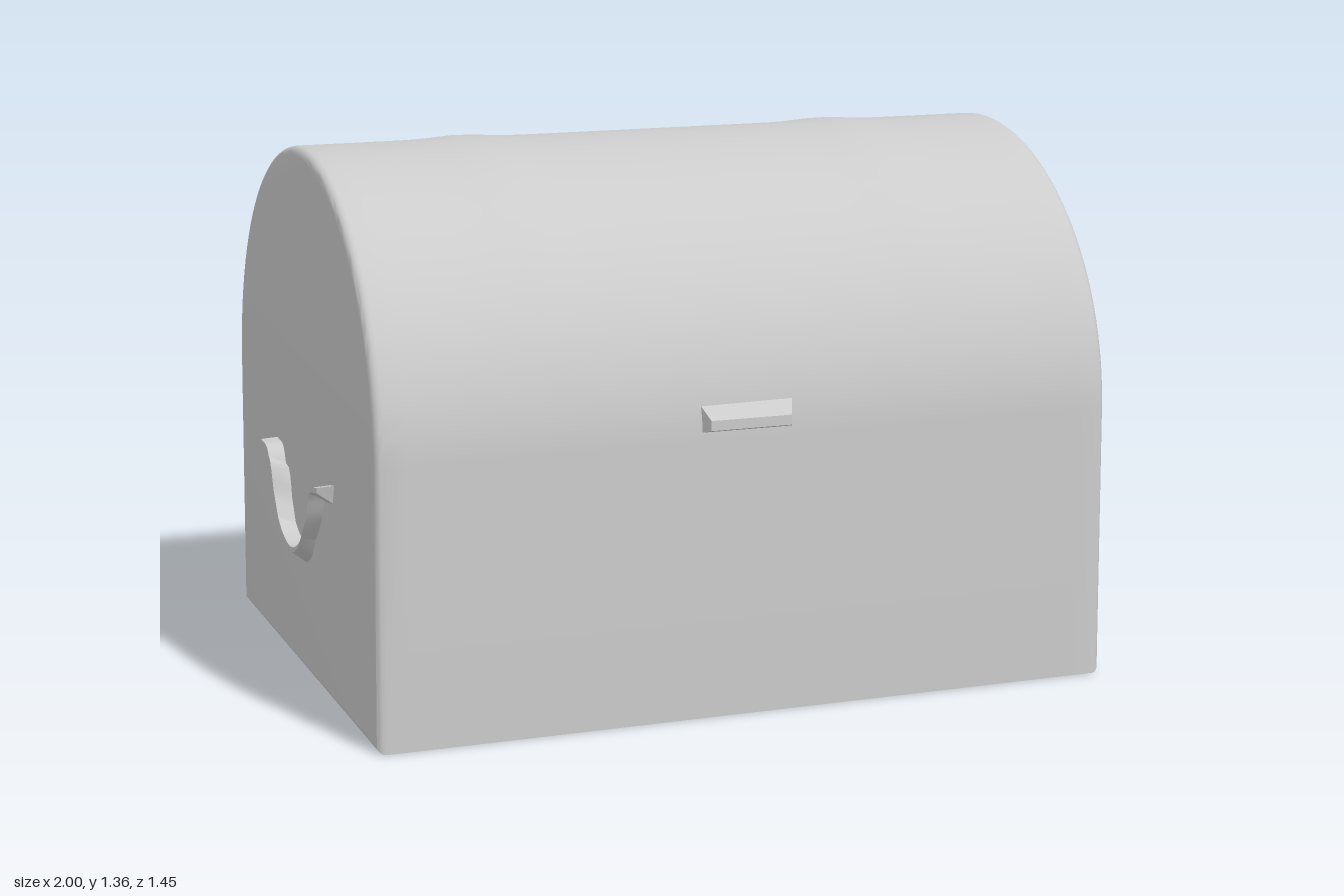
import * as THREE from 'three';
import { toCreasedNormals } from 'three/addons/utils/BufferGeometryUtils.js';

const material = new THREE.MeshStandardMaterial({ color: 0xcccccc });

function part(name, geometry, crease) {
  const mesh = new THREE.Mesh(toCreasedNormals(geometry, crease), material);
  mesh.name = name;
  return mesh;
}

// Move every vertex of a geometry by a rule
function reshape(geometry, rule) {
  const pos = geometry.attributes.position;
  const v = new THREE.Vector3();
  for (let i = 0; i < pos.count; i++) {
    v.fromBufferAttribute(pos, i);
    rule(v);
    pos.setXYZ(i, v.x, v.y, v.z);
  }
  return geometry;
}

// Chest body: arched section run along x, with softly rounded ends
function createBody() {
  const bevel = 0.022, half = 0.713 - bevel, spring = 0.7;
  const bottom = 0.005 + bevel, rise = 1.36 - bevel - spring;
  const section = new THREE.Shape();
  section.moveTo(-half, bottom);
  section.lineTo(half, bottom);
  section.lineTo(half, spring);
  section.absellipse(0, spring, half, rise, 0, Math.PI, false);
  section.closePath();
  const depth = 1.92 - 2 * bevel;
  const geo = new THREE.ExtrudeGeometry(section, {
    depth, steps: 32, curveSegments: 32,
    bevelThickness: bevel, bevelSize: bevel, bevelSegments: 4
  });
  geo.translate(0, 0, -depth / 2).rotateY(Math.PI / 2);
  return part('chestBody', reshape(geo, (v) => {
    // ends lean in towards the top, front runs slightly out of square
    v.x *= 1 - 0.014 * v.y / 1.36;
    if (v.z > 0) v.z -= 0.018 + 0.01 * v.x;
    else v.z -= 0.007;
    // two faint swells across the lid
    const swell = Math.exp(-(((Math.abs(v.x) - 0.5) / 0.08) ** 2));
    if (v.y > 0.8) v.y += 0.008 * swell * (v.y - 0.8) / 0.56;
  }), 0.6);
}

// Drooping grip: a ledge lofted along a U path, its underside flaring into the wall
function createHandle(name, side) {
  const curve = new THREE.CatmullRomCurve3([
    [0.29, 0.56], [0.22, 0.55], [0.17, 0.46], [0.1, 0.38], [0, 0.347],
    [-0.1, 0.375], [-0.18, 0.455], [-0.24, 0.55], [-0.31, 0.57]
  ].map(([z, y]) => new THREE.Vector3(0, y, z)));
  const n = 32, positions = [], index = [];
  // [distance out from the wall line, offset below the path]
  const profile = [[0.93, -0.004], [0.998, 0], [0.998, 0.014], [0.958, 0.045], [0.93, 0.05]];
  const m = profile.length;
  for (let i = 0; i <= n; i++) {
    const p = curve.getPoint(i / n), t = curve.getTangent(i / n);
    for (const [x, off] of profile) {
      positions.push(x, p.y - Math.abs(t.z) * off, p.z + t.y * off * Math.sign(-t.z));
    }
  }
  for (let i = 0; i < n; i++) {
    for (let j = 0; j < m; j++) {
      const a = i * m + j, b = i * m + (j + 1) % m;
      index.push(a, a + m, b, b, a + m, b + m);
    }
  }
  for (let j = 1; j < m - 1; j++) {
    const e = n * m;
    index.push(0, j, j + 1, e, e + j + 1, e + j);
  }
  const geo = new THREE.BufferGeometry();
  geo.setAttribute('position', new THREE.Float32BufferAttribute(positions, 3));
  geo.setIndex(index);
  if (side < 0) geo.rotateY(Math.PI);
  const mesh = part(name, geo, 0.8);
  mesh.material = material.clone();
  mesh.material.side = THREE.DoubleSide;
  return mesh;
}

// Low wedge bump: a block whose outer face shrinks down to a lower lip
function createLip(name, width, out) {
  const geo = new THREE.BoxGeometry(width, 0.1, 0.06);
  return part(name, reshape(geo, (v) => {
    if (v.z > 0) {
      v.x *= 0.8;
      v.y = v.y > 0 ? -0.005 : -0.03;
      v.z = out;
    }
  }), 0.5);
}

export function createModel() {
  const chest = new THREE.Group();
  chest.name = 'chest';
  chest.add(createBody());
  chest.add(createHandle('leftHandle', 1), createHandle('rightHandle', -1));

  const clasp = createLip('frontClasp', 0.26, 0.035);
  clasp.position.set(-0.02, 0.765, 0.69);
  chest.add(clasp);

  const backLip = createLip('backLip', 0.18, 0.03);
  backLip.rotation.y = Math.PI;
  backLip.position.set(0.6, 0.75, -0.698);
  chest.add(backLip);
  return chest;
}
